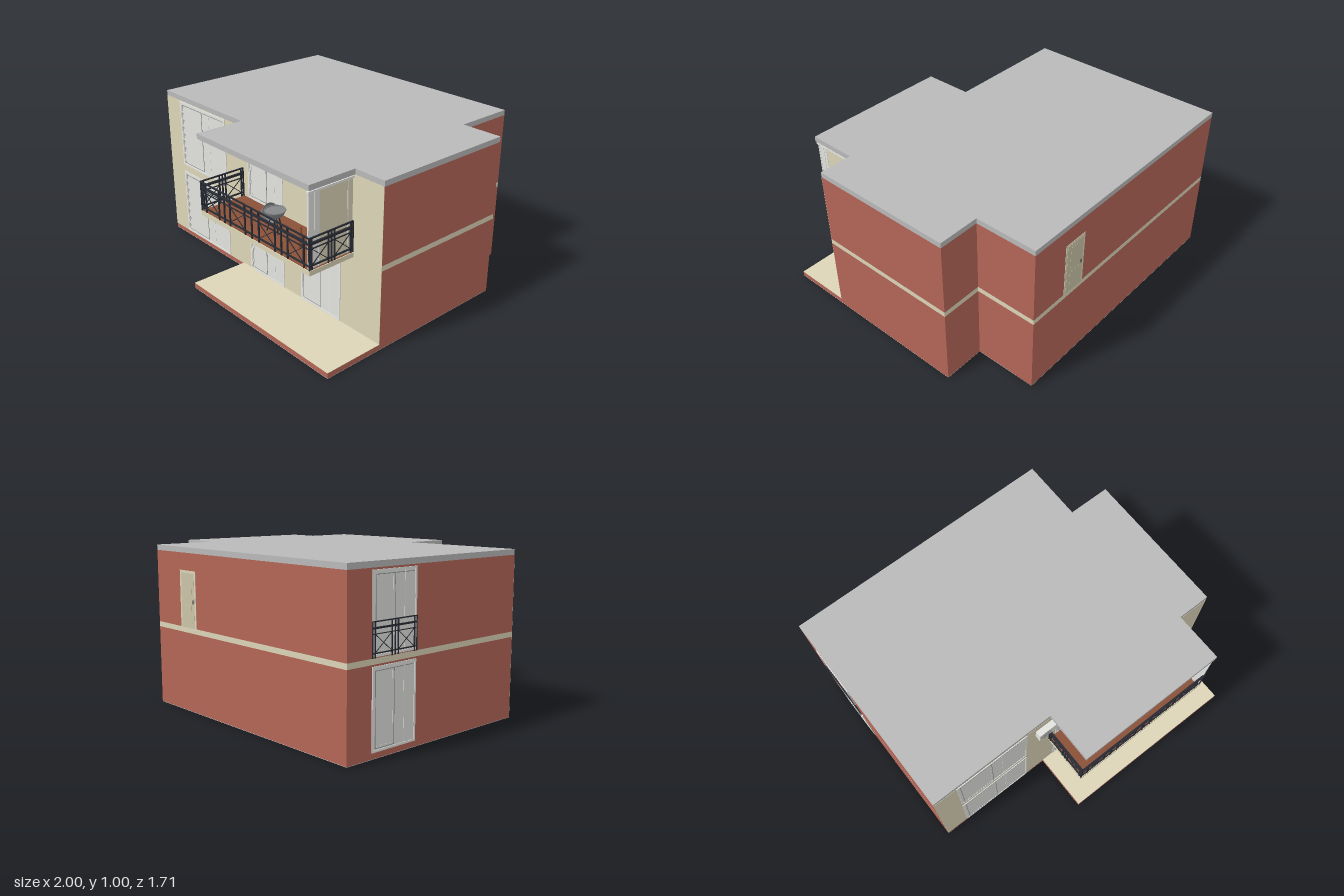
import * as THREE from 'three';

const mat = (name, color, side = THREE.FrontSide) => {
  const m = new THREE.MeshStandardMaterial({ color, side });
  m.name = name;
  return m;
};

export function createModel() {
  const red = mat('brick red', 0xb46657);
  const tan = mat('tan plaster', 0xdcd5b8);
  const grey = mat('roof grey', 0xb9b9b9);
  const pale = mat('underside grey', 0xdedede);
  const glass = mat('pale glass', 0xe2e3de);
  const white = mat('frame white', 0xf0f0ec);
  const dark = mat('dark iron', 0x2a2c35);
  const brown = mat('floor brown', 0x8a5038);
  const doorTan = mat('door beige', 0xcbc4a8);
  const steel = mat('furniture grey', 0x85888a, THREE.DoubleSide);

  const model = new THREE.Group();
  model.name = 'house';

  const group = (name, parent = model) => {
    const g = new THREE.Group();
    g.name = name;
    parent.add(g);
    return g;
  };
  const add = (parent, name, geo, m, x = 0, y = 0, z = 0) => {
    const mesh = new THREE.Mesh(geo, m);
    mesh.name = name;
    mesh.position.set(x, y, z);
    parent.add(mesh);
    return mesh;
  };
  // Box given by its minimum and maximum corners
  const box = (parent, name, m, x0, x1, y0, y1, z0, z1) =>
    add(parent, name, new THREE.BoxGeometry(x1 - x0, y1 - y0, z1 - z0), m,
      (x0 + x1) / 2, (y0 + y1) / 2, (z0 + z1) / 2);
  // Square bar between two points
  const bar = (parent, name, m, a, b, t) => {
    const p = new THREE.Vector3(...a), q = new THREE.Vector3(...b);
    const mesh = add(parent, name, new THREE.BoxGeometry(t, t, p.distanceTo(q)), m);
    mesh.position.copy(p).add(q).multiplyScalar(0.5);
    mesh.lookAt(q);
    return mesh;
  };
  // Horizontal slab from [x, z] corners
  const slab = (name, m, pts, y0, y1) => {
    const shape = new THREE.Shape(pts.map(([x, z]) => new THREE.Vector2(x, -z)));
    const geo = new THREE.ExtrudeGeometry(shape, { depth: y1 - y0, bevelEnabled: false });
    geo.rotateX(-Math.PI / 2);
    return add(model, name, geo, m, 0, y0, 0);
  };
  const lathe = (parent, name, m, pts, x, y, z) =>
    add(parent, name, new THREE.LatheGeometry(pts.map((p) => new THREE.Vector2(...p)), 24), m, x, y, z);

  // Walls, floor band and roof
  const L = -0.993, F = 0.475, W = 0.4765, B = -0.85;
  const back = [[1, -0.455], [0.735, -0.455], [0.735, B], [L, B], [L, F]];
  const plan = [...back, [1, F]];
  slab('underside', pale, [...back, [-0.21, F], [-0.21, 0.853], [1, 0.853]], 0, 0.002);
  slab('lowerWalls', red, plan, 0.002, 0.488);
  slab('floorBand', tan, plan, 0.488, 0.52);
  slab('upperWalls', red, plan, 0.52, 0.97);
  slab('roof', grey, [...back, [-0.18, F], [-0.18, 0.79], [0.79, 0.79], [0.79, F], [1, F]], 0.97, 1.003);
  box(model, 'frontPlaster', tan, L, 1, 0.03, 0.97, F, W);

  // Terrace
  box(model, 'terraceBase', red, -0.21, 1, 0.002, 0.034, F, 0.853);
  box(model, 'terraceTop', tan, -0.21, 1, 0.034, 0.036, F, 0.853);

  // Sliding door: pale frame, panes, and an outline round the moving leaf
  const slidingDoor = (name, x0, x1, split, y0, y1, z) => {
    const g = group(name);
    box(g, 'pane', glass, x0, x1, y0, y1, z, z + 0.001);
    const t = 0.012;
    const rim = (n, m, a, b, c, d, w, depth) => {
      box(g, n, m, a, b, c, c + w, z, z + depth);
      box(g, n, m, a, b, d - w, d, z, z + depth);
      box(g, n, m, a, a + w, c + w, d - w, z, z + depth);
      box(g, n, m, b - w, b, c + w, d - w, z, z + depth);
    };
    rim('frame', white, x0, x1, y0, y1, t, 0.004);
    rim('leafOutline', steel, x0 + 0.022, split, y0 + 0.017, y1 - 0.022, 0.003, 0.003);
    rim('leafFrame', glass, x0 + 0.025, split - 0.003, y0 + 0.02, y1 - 0.025, 0.01, 0.002);
    box(g, 'fixedLeafTop', steel, split + 0.006, x1 - 0.02, y1 - 0.025, y1 - 0.022, z, z + 0.002);
    box(g, 'fixedLeafStile', white, split + 0.07, split + 0.076, y0 + t, y1 - t, z, z + 0.002);
    return g;
  };
  [
    [-0.84, -0.35, -0.6, 0.525, 0.968], [-0.84, -0.35, -0.59, 0.036, 0.478],
    [-0.13, 0.2, 0.05, 0.525, 0.968], [-0.13, 0.2, 0.035, 0.036, 0.475],
    [0.435, 0.765, 0.61, 0.525, 0.968], [0.355, 0.69, 0.53, 0.036, 0.47],
  ].forEach((d) => slidingDoor('frontDoor', ...d, W));
  [[0.525, 0.96], [0.035, 0.478]].forEach(([y0, y1]) => {
    const d = slidingDoor('sideDoor', -0.68, -0.36, -0.52, y0, y1, 0);
    d.rotation.y = -Math.PI / 2;
    d.position.x = L;
  });

  // Back door
  const bd = group('backDoor');
  box(bd, 'doorFrame', tan, 0.312, 0.478, 0.52, 0.865, B - 0.002, B);
  box(bd, 'doorLeaf', doorTan, 0.327, 0.463, 0.52, 0.85, B - 0.003, B);
  [[0.55, 0.66], [0.69, 0.83]].forEach(([a, b]) =>
    box(bd, 'doorPanel', doorTan, 0.355, 0.435, a, b, B - 0.004, B));
  box(bd, 'handle', dark, 0.335, 0.342, 0.668, 0.692, B - 0.005, B);

  // Balcony slab and floor
  const balcony = group('balcony');
  box(balcony, 'balconySlab', tan, -0.18, 0.79, 0.49, 0.519, F, 0.79);
  box(balcony, 'balconyFloor', brown, -0.175, 0.785, 0.519, 0.522, F, 0.785);

  // Railing along local x; spans are the crossed bays as fractions of its length
  const railing = (name, length, spans, t = 0.008) => {
    const g = group(name);
    const y0 = 0.545, y1 = 0.642;
    const post = (x) => bar(g, 'post', dark, [x, 0.52, 0], [x, 0.706, 0], t);
    [[y0, t], [y1, t * 0.7], [0.672, t * 1.6], [0.704, t]].forEach(([y, w]) =>
      bar(g, 'rail', dark, [0, y, 0], [length, y, 0], w));
    spans.forEach(([s, e], i) => {
      const a = s * length, b = e * length;
      post(a);
      post(b);
      if (i > 0) post(((spans[i - 1][1] + s) / 2) * length);
      bar(g, 'cross', dark, [a, y0, 0], [b, y1, 0], t * 0.5);
      bar(g, 'cross', dark, [a, y1, 0], [b, y0, 0], t * 0.5);
    });
    post(0);
    post(length);
    return g;
  };
  const pair = [[0.05, 0.43], [0.57, 0.95]];
  railing('frontRailing', 0.96, [[0.045, 0.18], [0.29, 0.435], [0.565, 0.71], [0.82, 0.955]])
    .position.set(-0.175, 0, 0.785);
  [-0.178, 0.785].forEach((x) => {
    const r = railing('sideRailing', 0.305, pair);
    r.rotation.y = -Math.PI / 2;
    r.position.set(x, 0, 0.48);
  });
  const sideDoorRailing = railing('sideDoorRailing', 0.32, pair, 0.006);
  sideDoorRailing.rotation.y = -Math.PI / 2;
  sideDoorRailing.position.set(-0.997, 0, -0.68);

  // Screen closing the right end of the balcony
  const screen = group('balconyScreen');
  box(screen, 'screenPanel', tan, 0.771, 0.777, 0.522, 0.955, F, 0.715);
  box(screen, 'screenLeaf', glass, 0.771, 0.777, 0.522, 0.955, 0.715, 0.785);
  box(screen, 'screenHead', white, 0.768, 0.785, 0.95, 0.963, F, 0.788);
  [0.51, 0.715, 0.74, 0.78].forEach((z) =>
    box(screen, 'screenStile', white, 0.769, 0.779, 0.522, 0.955, z - 0.004, z + 0.004));

  // Air conditioner with fan grille
  const ac = group('airConditioner');
  box(ac, 'casing', glass, -0.29, -0.15, 0.84, 0.93, 0.482, 0.52);
  [-0.27, -0.17].forEach((x) => box(ac, 'bracket', steel, x - 0.006, x + 0.006, 0.836, 0.845, W, 0.515));
  [0.036, 0.025, 0.014].forEach((r) =>
    add(ac, 'fanRing', new THREE.TorusGeometry(r, 0.0015, 5, 28), steel, -0.245, 0.885, 0.521));
  for (let i = 0; i < 4; i++) {
    const a = (i * Math.PI) / 4, c = Math.cos(a) * 0.036, s = Math.sin(a) * 0.036;
    bar(ac, 'fanSpoke', steel, [-0.245 - c, 0.885 - s, 0.521], [-0.245 + c, 0.885 + s, 0.521], 0.0015);
  }

  // Hanging wall plant
  const plant = group('wallPlant');
  add(plant, 'pot', new THREE.CylinderGeometry(0.022, 0.015, 0.025, 12), dark, 0.295, 0.865, 0.502);
  for (let i = 0; i < 8; i++) {
    const x = 0.257 + i * 0.011, top = 0.893 - 0.008 * (i % 2), low = 0.815 + 0.014 * (i % 3);
    const path = new THREE.CatmullRomCurve3([[0.295, 0.872, 0.505], [(x + 0.295) / 2, top, 0.512],
      [x, 0.865, 0.515], [x + 0.004, low, 0.512]].map((p) => new THREE.Vector3(...p)));
    add(plant, 'stem', new THREE.TubeGeometry(path, 12, 0.0025, 5), dark);
    add(plant, 'leaf', new THREE.SphereGeometry(0.006, 6, 4), dark, x + 0.003, low, 0.512);
  }

  // Kettle grill: bowl on three legs, with its lid leaning open beside it
  const grill = group('kettleGrill');
  const dome = [[0.002, 0], [0.03, 0.006], [0.05, 0.024], [0.06, 0.05]];
  lathe(grill, 'grillBowl', steel, dome, 0.33, 0.607, 0.64);
  const rim = add(grill, 'grillRim', new THREE.TorusGeometry(0.06, 0.003, 6, 28), steel, 0.33, 0.657, 0.64);
  rim.rotation.x = Math.PI / 2;
  const grate = add(grill, 'grillGrate', new THREE.CylinderGeometry(0.057, 0.057, 0.003, 24), steel, 0.33, 0.65, 0.64);
  grate.rotation.y = 0.1;
  for (let i = 0; i < 3; i++) {
    const a = (i * 2 * Math.PI) / 3 + 0.4, c = Math.cos(a), s = Math.sin(a);
    bar(grill, 'grillLeg', dark, [0.33 + 0.025 * c, 0.615, 0.64 + 0.025 * s],
      [0.33 + 0.05 * c, 0.524, 0.64 + 0.05 * s], 0.006);
  }
  const lid = lathe(grill, 'grillLid', steel, dome, 0.235, 0.595, 0.63);
  lid.rotation.z = -1.15;

  // Folding lounge chair
  const chair = group('loungeChair');
  [0.61, 0.68].forEach((z) => {
    bar(chair, 'seatRail', dark, [0.63, 0.585, z], [0.72, 0.562, z], 0.006);
    bar(chair, 'backRail', dark, [0.72, 0.562, z], [0.755, 0.655, z], 0.006);
    bar(chair, 'leg', dark, [0.65, 0.523, z], [0.745, 0.6, z], 0.005);
    bar(chair, 'leg', dark, [0.74, 0.523, z], [0.66, 0.58, z], 0.005);
  });
  for (let i = 0; i < 6; i++) {
    const t = i / 5;
    const seat = [0.63 + 0.09 * t, 0.585 - 0.023 * t], rest = [0.72 + 0.035 * t, 0.562 + 0.093 * t];
    bar(chair, 'seatSlat', dark, [...seat, 0.61], [...seat, 0.68], 0.007);
    bar(chair, 'backSlat', dark, [...rest, 0.61], [...rest, 0.68], 0.007);
  }

  // Brown bottle on the floor
  lathe(model, 'bottle', brown, [[0, 0], [0.014, 0], [0.014, 0.06], [0.006, 0.085], [0.006, 0.115], [0, 0.115]],
    0.56, 0.522, 0.65);

  return model;
}
